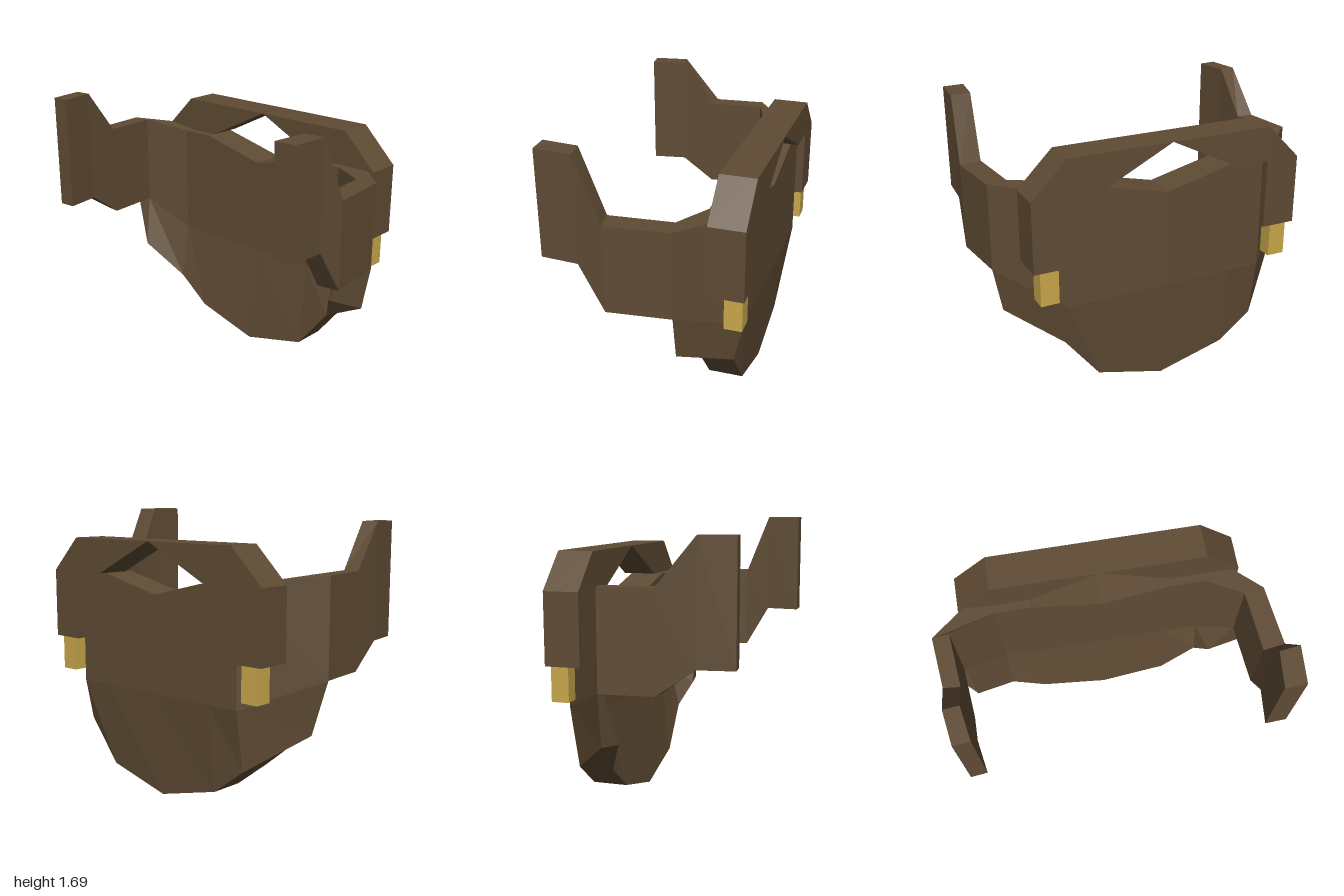
import * as THREE from 'three';

// Joins cross-sections (counterclockwise seen from the far end) and caps both ends.
function loft(rings) {
  const pos = [];
  const quad = (a, b, c, d) => pos.push(...a, ...b, ...c, ...a, ...c, ...d);
  const n = rings[0].length;
  for (let s = 0; s < rings.length - 1; s++) {
    const a = rings[s], b = rings[s + 1];
    for (let i = 0; i < n; i++) {
      const j = (i + 1) % n;
      quad(a[i], a[j], b[j], b[i]);
    }
  }
  const first = rings[0], last = rings[rings.length - 1];
  for (let i = 0; i < n / 2 - 1; i++) {
    quad(last[i], last[i + 1], last[n - 2 - i], last[n - 1 - i]);
    quad(first[n - 1 - i], first[n - 2 - i], first[i + 1], first[i]);
  }
  const geo = new THREE.BufferGeometry();
  geo.setAttribute('position', new THREE.Float32BufferAttribute(pos, 3));
  geo.computeVertexNormals();
  return geo;
}

export function createModel() {
  const brown = new THREE.MeshStandardMaterial({ color: 0x5f4b34, flatShading: true });
  brown.name = 'brown leather';
  const gold = new THREE.MeshStandardMaterial({ color: 0xc9a84c, flatShading: true });
  gold.name = 'gold';

  const model = new THREE.Group();
  model.name = 'model';
  const add = (name, geo, mat) => {
    const mesh = new THREE.Mesh(geo, mat);
    mesh.name = name;
    model.add(mesh);
    return mesh;
  };

  // Curved back panel: columns from right to left, bent forward at the lower row
  const column = (x, top, bottom) => [
    [x, top, -0.30], [x, 0.63, -0.30], [x, bottom, -0.245],
    [x, bottom, -0.455], [x, 0.63, -0.51], [x, top, -0.51],
  ];
  const rightWing = [
    [-0.90, 1.37, -0.19], [-0.90, 0.80, -0.19], [-0.86, 0.49, -0.12],
    [-0.91, 0.48, -0.20], [-1.00, 0.80, -0.18], [-1.00, 1.37, -0.18],
  ];
  const leftWing = [
    [0.84, 1.32, -0.18], [0.84, 0.80, -0.18], [0.70, 0.53, -0.16],
    [0.91, 0.53, -0.20], [0.96, 0.80, -0.20], [0.96, 1.32, -0.20],
  ];
  add('backPanel', loft([
    rightWing,
    column(-0.63, 1.32, 0.27), column(-0.42, 1.32, 0.11), column(0, 1.22, 0),
    column(0.42, 1.32, 0.11), column(0.63, 1.32, 0.375),
    leftWing,
  ]), brown);

  // Side arms: each section is x, z of the -x edge, x, z of the +x edge, bottom, top
  const arm = (sections) => loft(sections.map(([xa, za, xb, zb, lo, hi]) => [
    [xa, hi, za], [xa, lo, za], [xb, lo, zb], [xb, hi, zb],
  ]));
  add('rightArm', arm([
    [-1.00, -0.18, -0.90, -0.19, 0.80, 1.37],
    [-0.97, 0.13, -0.87, 0.14, 0.80, 1.37],
    [-0.95, 0.35, -0.855, 0.34, 0.95, 1.64],
    [-0.92, 0.555, -0.82, 0.545, 0.95, 1.64],
  ]), brown);
  add('leftArm', arm([
    [0.84, -0.18, 0.96, -0.20, 0.80, 1.32],
    [0.87, 0.19, 1.00, 0.17, 0.80, 1.32],
    [0.86, 0.34, 0.98, 0.325, 1.06, 1.69],
    [0.84, 0.55, 0.965, 0.545, 1.06, 1.69],
  ]), brown);

  // Rear arch in two halves that meet in a notch, with a gold tab under each leg
  for (const [side, s] of [['right', -1], ['left', 1]]) {
    const outline = [
      [0, 1.53], [0.42, 1.32], [0.63, 1.32], [0.63, 0.90],
      [0.84, 0.90], [0.84, 1.32], [0.63, 1.53],
    ].map(([x, y]) => new THREE.Vector2(s * x, y));
    const geo = new THREE.ExtrudeGeometry(new THREE.Shape(outline), { depth: 0.21, bevelEnabled: false });
    add(side + 'Arch', geo, brown).position.z = -0.56;
    add(side + 'Tab', new THREE.BoxGeometry(0.11, 0.22, 0.105), gold).position.set(s * 0.745, 0.80, -0.49);
  }
  return model;
}
